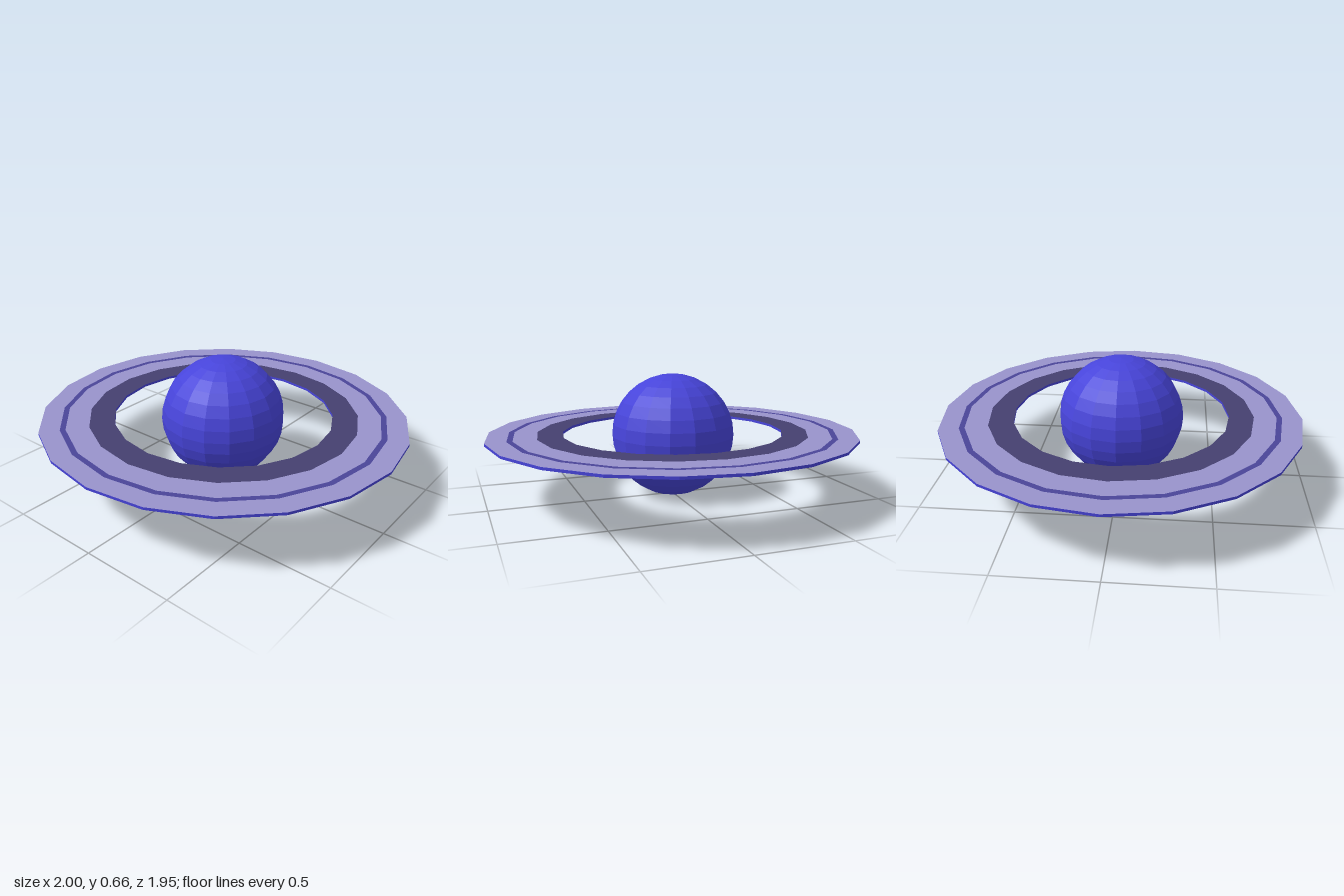
import * as THREE from 'three';

const SIDES = 20;
const RING_Y = 0.336;
const THICKNESS = 0.014;
const DEPTH = 0.974; // rings are slightly narrower front to back

const paint = (color) => new THREE.MeshStandardMaterial({ color, flatShading: true });

// Points of a regular polygon squeezed along its second axis
function polygon(radius) {
  return Array.from({ length: SIDES }, (_, i) => {
    const a = (i / SIDES) * Math.PI * 2;
    return new THREE.Vector2(Math.cos(a) * radius, Math.sin(a) * radius * DEPTH);
  });
}

// Thin flat annulus lying in the xz plane
function ringBand(name, inner, outer, faceMaterial, edgeMaterial) {
  const shape = new THREE.Shape(polygon(outer));
  shape.holes.push(new THREE.Path(polygon(inner)));
  const geometry = new THREE.ExtrudeGeometry(shape, { depth: THICKNESS, bevelEnabled: false });
  geometry.rotateX(-Math.PI / 2);
  const mesh = new THREE.Mesh(geometry, [faceMaterial, edgeMaterial]);
  mesh.name = name;
  mesh.position.y = RING_Y;
  return mesh;
}

export function createModel() {
  const model = new THREE.Group();
  model.name = 'ringedPlanet';

  const blue = paint(0x4744da);
  const pale = paint(0x9893cc);
  const violet = paint(0x4a4598);
  const dark = paint(0x454070);

  // Faceted planet body
  const planet = new THREE.Mesh(new THREE.SphereGeometry(0.332, 16, 16), blue);
  planet.name = 'planet';
  planet.position.y = 0.332;
  planet.scale.z = 1.02;
  model.add(planet);

  // Concentric ring bands, from the inside out
  const rings = new THREE.Group();
  rings.name = 'rings';
  rings.add(
    ringBand('innerDarkRing', 0.6, 0.737, dark, blue),
    ringBand('middlePaleRing', 0.737, 0.861, pale, blue),
    ringBand('thinVioletRing', 0.861, 0.891, violet, blue),
    ringBand('outerPaleRing', 0.891, 1, pale, blue),
  );
  model.add(rings);

  return model;
}
